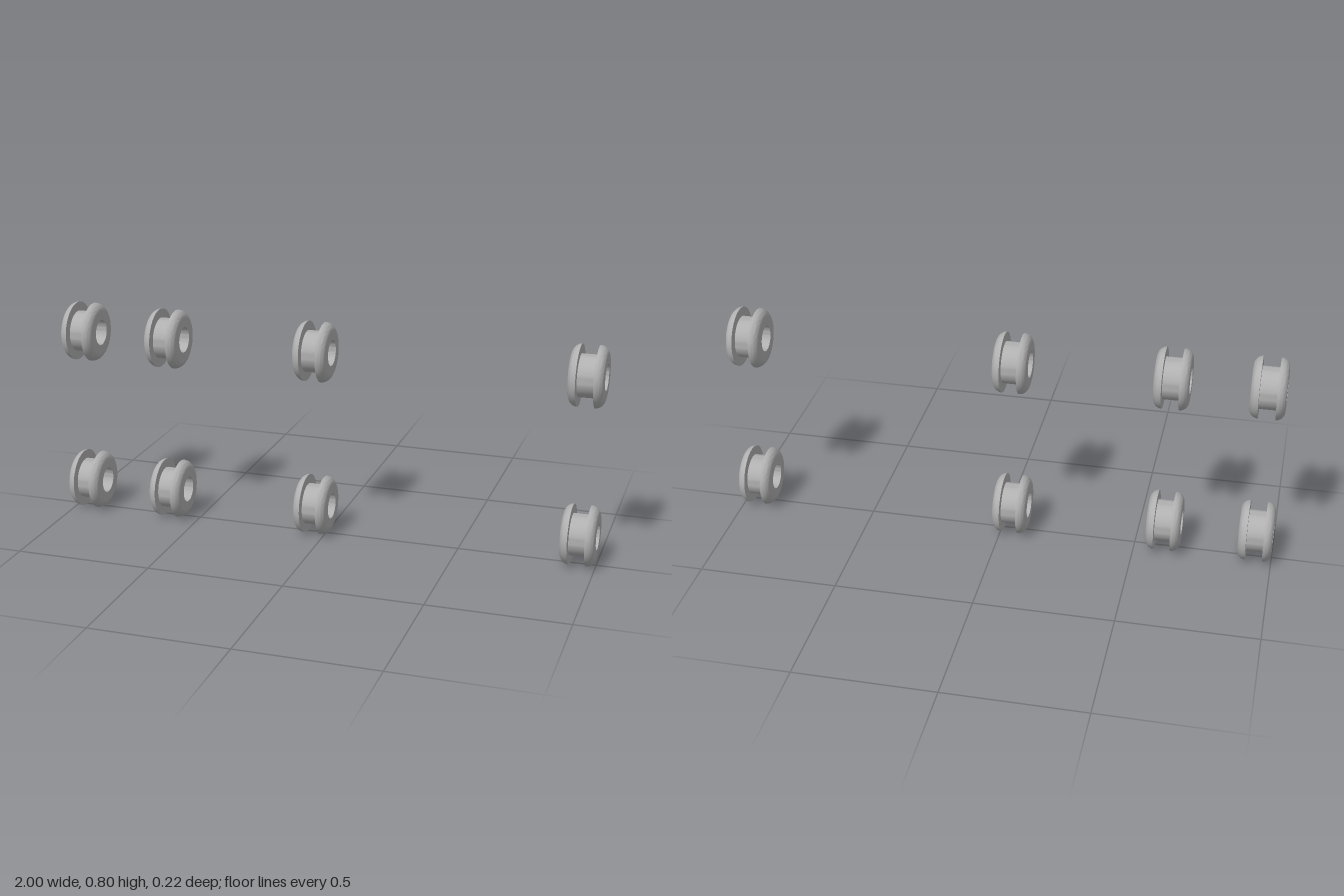
import * as THREE from 'three';
import { toCreasedNormals } from 'three/addons/utils/BufferGeometryUtils.js';

const HOLE = 0.047, GROOVE = 0.075, OUTER = 0.1085; // radii
const HALF = 0.0615, FLANGE = 0.031;               // half width, flange thickness
const ROUND = 0.031;                               // rounding of the rims

// Closed ring profile: bore, two rounded flanges and the groove between them
function grommetGeometry() {
  const rim = [];
  for (let i = 0; i <= 8; i++) {
    const a = (i / 8) * Math.PI / 2;
    rim.push(new THREE.Vector2(
      OUTER - ROUND + ROUND * Math.cos(a),
      HALF - FLANGE + FLANGE * Math.sin(a)));
  }
  const upper = [new THREE.Vector2(GROOVE, HALF - FLANGE), ...rim, new THREE.Vector2(HOLE, HALF)];
  const lower = upper.map(p => new THREE.Vector2(p.x, -p.y)).reverse();
  const profile = [...lower, ...upper, lower[0].clone()];
  const geometry = new THREE.LatheGeometry(profile, 48);
  geometry.rotateZ(-Math.PI / 2);
  return toCreasedNormals(geometry, Math.PI / 6);
}

export function createModel() {
  const model = new THREE.Group();
  model.name = 'grommets';
  const rubber = new THREE.MeshStandardMaterial({ color: 0xb0b0b0 });
  rubber.name = 'grey rubber';
  const geometry = grommetGeometry();

  // Two rows of four grommets, all with their holes along x
  const rows = { lower: OUTER, upper: 0.694 };
  for (const [row, y] of Object.entries(rows)) {
    [-0.9385, -0.607, -0.04, 0.9385].forEach((x, i) => {
      const grommet = new THREE.Mesh(geometry, rubber);
      grommet.name = `${row}Grommet${i + 1}`;
      grommet.position.set(x, y, 0);
      model.add(grommet);
    });
  }
  return model;
}
